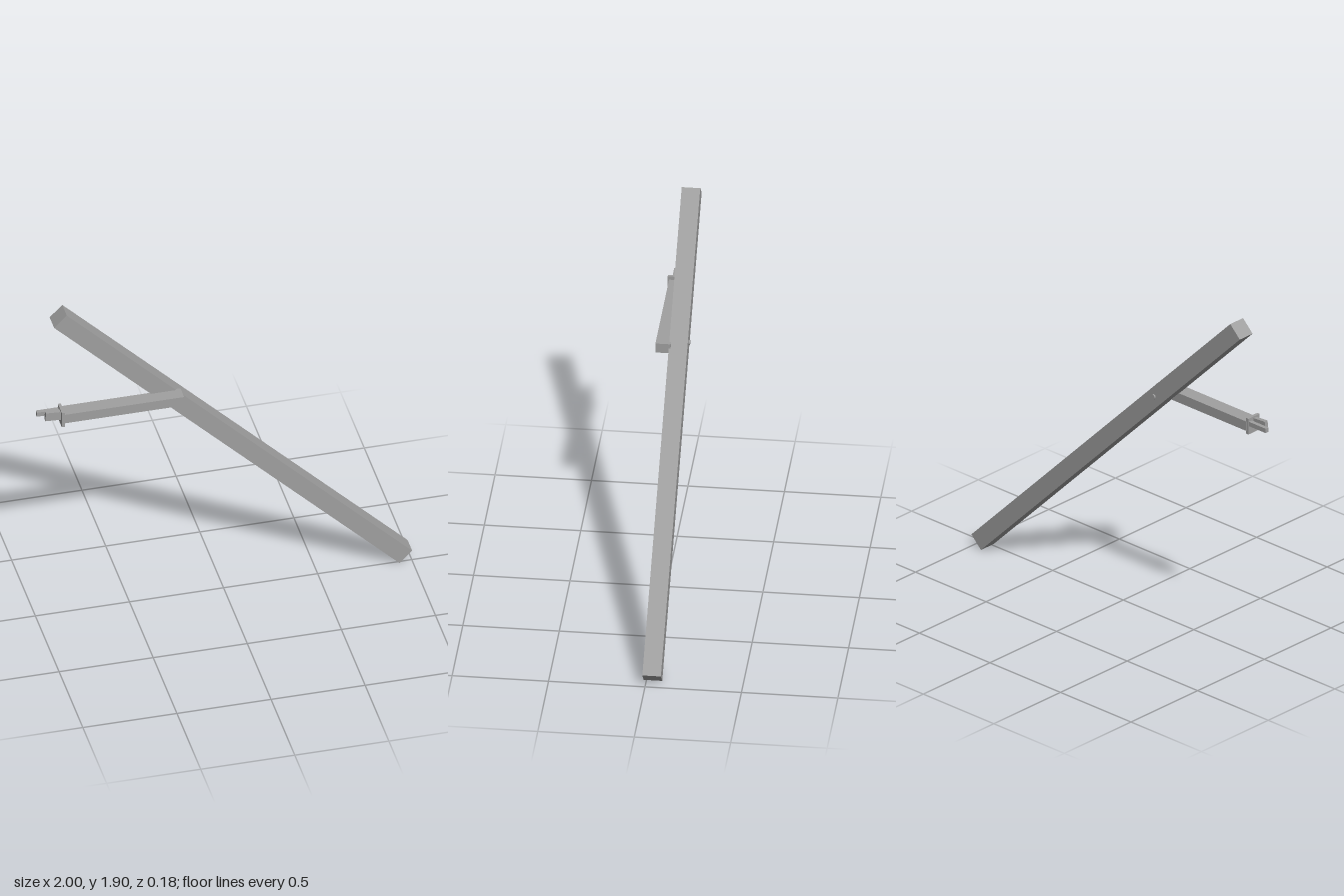
import * as THREE from 'three';

export function createModel() {
  const model = new THREE.Group();
  const steel = new THREE.MeshStandardMaterial({ color: 0xa0a0a0 });
  steel.name = 'grey steel';

  // adds a box given its lower and upper corners
  const box = (name, [x0, y0, z0], [x1, y1, z1]) => {
    const mesh = new THREE.Mesh(new THREE.BoxGeometry(x1 - x0, y1 - y0, z1 - z0), steel);
    mesh.position.set((x0 + x1) / 2, (y0 + y1) / 2, (z0 + z1) / 2);
    mesh.name = name;
    model.add(mesh);
    return mesh;
  };

  // long diagonal beam
  const beam = box('beam', [-1.25, 0.905, -0.082], [1.345, 1.0, 0.014]);
  beam.position.set(0.0475, 0.951, -0.034);
  beam.rotation.z = -Math.PI / 4;

  // horizontal arm with its end flange
  box('arm', [-0.87, 1.267, 0.004], [-0.23, 1.321, 0.083]);
  box('flange', [-0.882, 1.25, 0.006], [-0.866, 1.34, 0.09]);

  // latch prongs beyond the flange
  box('longProng', [-1, 1.297, 0.01], [-0.875, 1.322, 0.032]);
  const shortProng = box('shortProng', [-0.962, 1.284, 0.045], [-0.875, 1.333, 0.067]);
  shortProng.rotation.z = -0.06;

  // pivot pin through the beam
  const pin = new THREE.Mesh(new THREE.CylinderGeometry(0.014, 0.014, 0.13, 12), steel);
  pin.rotation.x = Math.PI / 2;
  pin.position.set(-0.294, 1.3, -0.025);
  pin.name = 'pivotPin';
  model.add(pin);

  return model;
}
